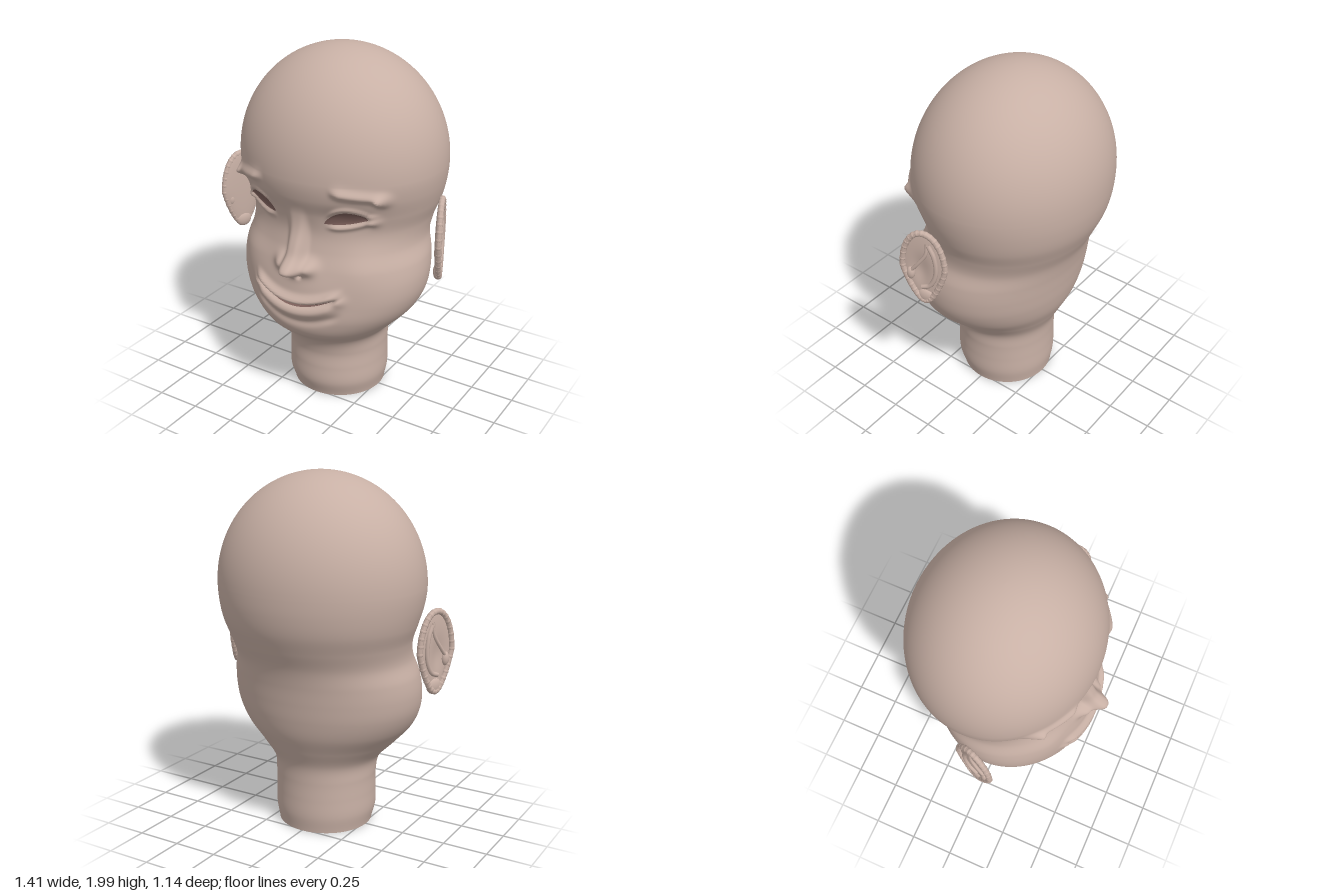
import * as THREE from 'three';

const skin = new THREE.MeshStandardMaterial({ color: 0xc8b0a5, side: THREE.DoubleSide });
skin.name = 'skin';
const dark = new THREE.MeshStandardMaterial({ color: 0x7c5f5a, side: THREE.DoubleSide });
dark.name = 'darkOpening';

// Half width, front depth and back depth at every 0.1 of height up to the dome
const WIDTH = [.265, .285, .285, .285, .30, .39, .48, .53, .545, .535, .505, .515, .55, .575, .585];
const FRONT = [.262, .292, .292, .292, .335, .45, .485, .485, .475, .45, .42, .405, .425, .463, .478];
const BACK = [.262, .275, .275, .275, .285, .33, .375, .40, .415, .43, .455, .50, .54, .56, .565];

function sample(table, y) {
  const n = table.length - 1;
  const i = Math.min(n - 1, Math.floor(y * 10));
  const t = y * 10 - i;
  const p0 = table[Math.max(0, i - 1)], p1 = table[i], p2 = table[i + 1];
  const p3 = i + 2 > n ? table[n - 1] : table[i + 2];
  return p1 + .5 * t * (p2 - p0 + t * (2 * p0 - 5 * p1 + 4 * p2 - p3 + t * (3 * (p1 - p2) + p3 - p0)));
}

// Elliptical cross-section of the skull, face and neck
function section(y) {
  const yy = Math.min(y, 1.4);
  const k = y > 1.4 ? Math.sqrt(Math.max(0, 1 - ((y - 1.4) / .6) ** 2)) : 1;
  const f = sample(FRONT, yy), b = sample(BACK, yy);
  return { w: sample(WIDTH, yy) * k, c: (f - b) / 2, d: (f + b) / 2 * k };
}

const bell = (v, centre, spread) => Math.exp(-(((v - centre) / spread) ** 2));
const step = (v, lo, hi) => THREE.MathUtils.smoothstep(v, lo, hi);
const mouthLine = a => .70 + .05 * (a / .22) ** 2;
const eyeT = a => THREE.MathUtils.clamp((a - .15) / .215, 0, 1);
const eyeLow = a => 1.168 + .035 * eyeT(a) - .014 * Math.sin(Math.PI * eyeT(a));
const eyeHigh = a => 1.168 + .035 * eyeT(a) + .06 * Math.max(0, Math.sin(Math.PI * eyeT(a))) ** .7;

// Facial relief, symmetrical about x = 0
function relief(x, y) {
  const a = Math.abs(x);
  let h = 0;
  // nose
  h += .066 * Math.exp(-((a / .05) ** 4)) * (1 - step(y, .98, 1.26)) * step(y, .84, .91);
  h += .058 * bell(a, 0, .06) * bell(y, .91, .05);
  h += .045 * bell(a, .085, .042) * bell(y, .915, .038);
  h -= .045 * bell(a, .035, .015) * bell(y, .865, .013);
  // lips
  const m = mouthLine(a), lips = 1 - step(a, .2, .285);
  h += .032 * bell(y, m + .028, .022) * lips;
  h += .026 * bell(y, m - .04, .035) * lips;
  h -= .025 * bell(y, m, .009) * lips;
  h += .018 * bell(a, .26, .03) * bell(y, .755, .03);
  h -= .012 * bell(y, m - .105, .025) * lips;
  // cheeks
  h += .022 * bell(a, .36, .12) * bell(y, .93, .12);
  // brows
  const brow = step(a, .19, .27) * (1 - step(a, .42, .48));
  h += .03 * bell(y, 1.36 - .15 * (a - .25), .027) * brow;
  h += .045 * bell(a, .437, .026) * bell(y, 1.315, .03);
  // eye sockets and lids
  const lid = step(a, .14, .22) * (1 - step(a, .36, .42));
  h -= .018 * bell(a, .26, .11) * bell(y, 1.2, .06);
  h += .018 * bell(y, eyeLow(a) - .022, .016) * lid;
  h += .014 * bell(y, eyeHigh(a) + .016, .014) * lid;
  h += .02 * bell(a, .385, .025) * bell(y, 1.185, .03);
  return h;
}

function faceZ(x, y) {
  const s = section(y);
  return s.c + s.d * Math.sqrt(Math.max(0, 1 - (x / s.w) ** 2)) + relief(x, y);
}

// Lofted head and open-ended neck, with closer columns on the face
function headGeometry() {
  const cols = 220, low = 160, dome = 40, pos = [], index = [];
  for (let i = 0; i <= low + dome; i++) {
    const y = i <= low ? .01 + 1.39 * i / low : 1.4 + .6 * Math.sin((i - low) / dome * Math.PI / 2);
    const s = section(y);
    for (let j = 0; j < cols; j++) {
      const t = j / cols * Math.PI * 2;
      const angle = t - .45 * Math.sin(t);
      const x = s.w * Math.sin(angle), cz = Math.cos(angle);
      pos.push(x, y, s.c + s.d * cz + relief(x, y) * step(cz, 0, .35));
      if (i < low + dome) {
        const a = i * cols + j, b = i * cols + (j + 1) % cols;
        index.push(a, b, b + cols, a, b + cols, a + cols);
      }
    }
  }
  const g = new THREE.BufferGeometry();
  g.setAttribute('position', new THREE.Float32BufferAttribute(pos, 3));
  g.setIndex(index);
  g.computeVertexNormals();
  return g;
}

function add(parent, name, geometry, material = skin) {
  const mesh = new THREE.Mesh(geometry, material);
  mesh.name = name;
  parent.add(mesh);
  return mesh;
}

// Thin patch laid on the face between two curves
function facePatch(x0, x1, lo, hi) {
  const g = new THREE.PlaneGeometry(1, 1, 32, 12), p = g.attributes.position;
  for (let i = 0; i < p.count; i++) {
    const x = THREE.MathUtils.lerp(x0, x1, p.getX(i) + .5), a = Math.abs(x);
    const y = THREE.MathUtils.lerp(lo(a), hi(a), p.getY(i) + .5);
    p.setXYZ(i, x, y, faceZ(x, y) + .005);
  }
  g.computeVertexNormals();
  return g;
}

// Ear outline: an oval narrowing to a lobe; local x points outward
const earNarrow = v => v < 0 ? 1 + .38 * v : 1;
const tube = (points, r, closed = false) => new THREE.TubeGeometry(
  new THREE.CatmullRomCurve3(points.map(p => new THREE.Vector3(...p)), closed), 96, r, 8, closed);

function makeEar(name, side) {
  const ear = new THREE.Group();
  ear.name = name;
  // flat shell with a hollow outer face
  const shell = new THREE.SphereGeometry(1, 48, 32), p = shell.attributes.position;
  for (let i = 0; i < p.count; i++) {
    const x = p.getX(i), v = p.getY(i), w = p.getZ(i);
    const hollow = x > 0 ? .018 * bell(v, -.1, .4) * bell(w, .15, .4) : 0;
    p.setXYZ(i, x * .016 - hollow, v * .228, w * .124 * earNarrow(v));
  }
  shell.computeVertexNormals();
  add(ear, 'earShell', shell);
  // beaded rim
  const rim = [];
  for (let i = 0; i < 32; i++) {
    const t = i / 32 * Math.PI * 2, v = Math.sin(t);
    rim.push([.01, v * .219, Math.cos(t) * .115 * earNarrow(v)]);
  }
  add(ear, 'earRim', tube(rim, .016, true));
  for (let i = 0; i < 32; i++) {
    add(ear, 'rimBead', new THREE.SphereGeometry(.0175, 10, 8)).position.set(...rim[i]);
  }
  // inner folds, tragus and lobe
  add(ear, 'innerFold', tube([[.01, .15, -.03], [.014, .08, -.06], [.014, -.03, -.065],
    [.014, -.11, -.03], [.012, -.13, .015]], .013));
  add(ear, 'upperFold', tube([[.01, .16, -.025], [.014, .09, -.015], [.014, .02, .03], [.01, -.03, .07]], .01));
  const tragus = add(ear, 'tragus', new THREE.SphereGeometry(.03, 16, 12));
  tragus.position.set(.006, -.05, .075);
  tragus.scale.set(.7, 1.3, .8);
  const lobe = add(ear, 'earLobe', new THREE.SphereGeometry(.045, 20, 14));
  lobe.position.set(.002, -.19, 0);
  lobe.scale.set(.5, 1, 1.1);
  ear.position.set(.636 * side, 1.07, .055);
  ear.rotation.y = .37 * side;
  ear.scale.x = side;
  return ear;
}

export function createModel() {
  const model = new THREE.Group();
  model.name = 'head';
  add(model, 'headAndNeck', headGeometry());
  add(model, 'leftEyeOpening', facePatch(.15, .365, eyeLow, eyeHigh), dark);
  add(model, 'rightEyeOpening', facePatch(-.365, -.15, eyeLow, eyeHigh), dark);
  const gap = a => .008 * (1 - (a / .22) ** 2);
  add(model, 'mouthOpening', facePatch(-.22, .22, a => mouthLine(a) - gap(a), a => mouthLine(a) + gap(a)), dark);
  model.add(makeEar('leftEar', 1), makeEar('rightEar', -1));
  return model;
}
